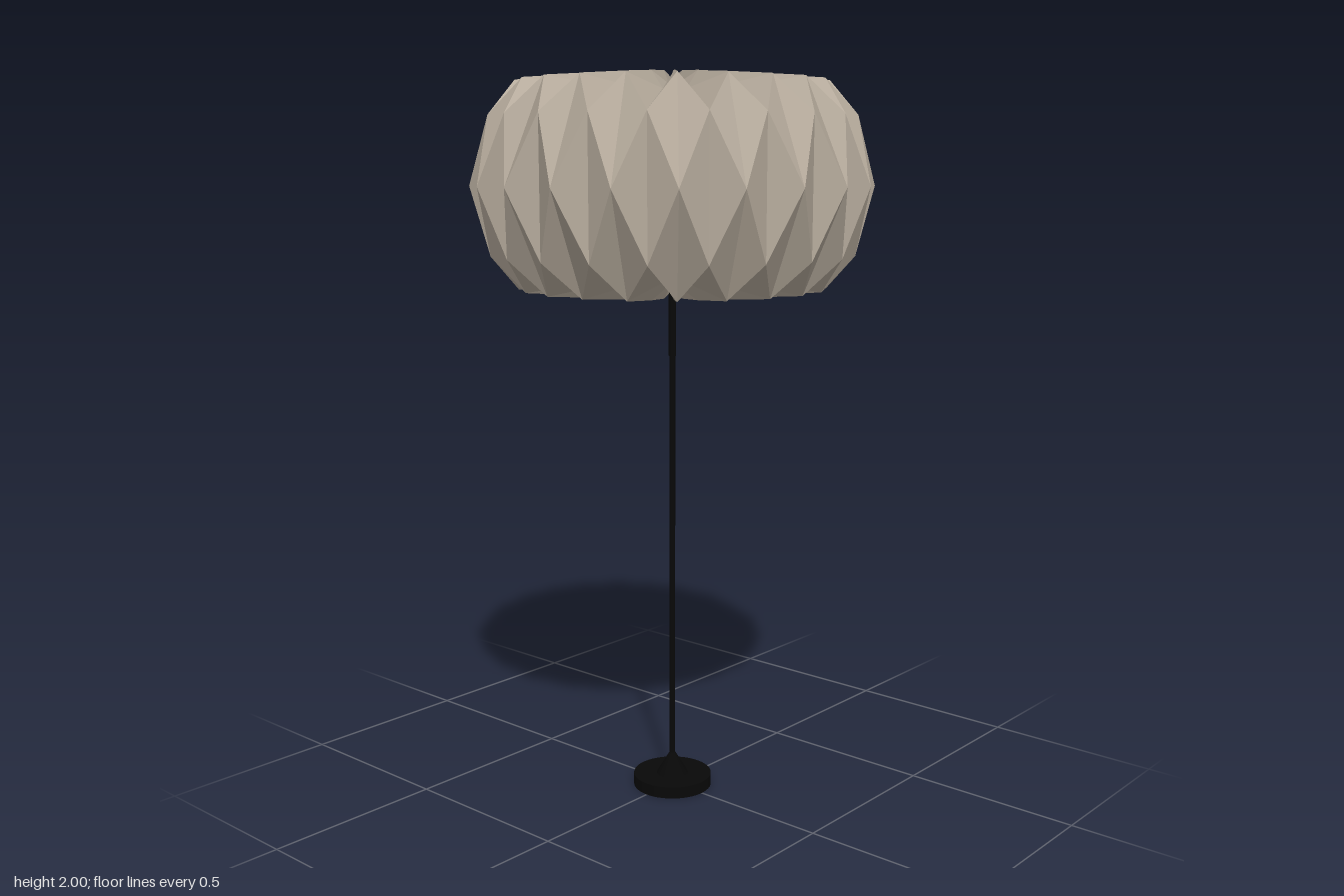
import * as THREE from 'three';

const PLEATS = 21;
const MID_Y = 1.704;

// Upper half of the two creases that alternate round the shade: [radius, height above the middle]
const TIP_CREASE = [[0.54, 0], [0.415, 0.274], [0.2, 0.29], [0.08, 0.296], [0.035, 0.287], [0.01, 0.262]];
const SIDE_CREASE = [[0.492, 0.182], [0.2, 0.244], [0.08, 0.262], [0.035, 0.264], [0.01, 0.26]];

// Folded paper with pleats that run over the rim to the centre
function pleatedShade() {
  const center = new THREE.Vector3(0, MID_Y, 0);
  const points = [];
  // Add one facet, turned so that it faces outward
  const facet = (a, b, c) => {
    const normal = b.clone().sub(a).cross(c.clone().sub(a));
    const out = a.clone().add(b).add(c).divideScalar(3).sub(center);
    points.push(...(normal.dot(out) < 0 ? [a, c, b] : [a, b, c]));
  };
  const crease = (profile, turn, up) => profile.map(([r, h]) => {
    const a = (turn / PLEATS) * Math.PI * 2;
    return new THREE.Vector3(Math.sin(a) * r, MID_Y + up * h, -Math.cos(a) * r);
  });
  for (let k = 0; k < PLEATS; k++) {
    for (const step of [-0.5, 0.5]) {
      // Upper and lower halves of the strip between a tip and its neighbour
      for (const up of [1, -1]) {
        const tip = crease(TIP_CREASE, k, up);
        const side = crease(SIDE_CREASE, k + step, up);
        facet(tip[0], side[0], tip[1]);
        for (let i = 1; i < side.length; i++) {
          facet(tip[i], side[i - 1], side[i]);
          facet(tip[i], side[i], tip[i + 1]);
        }
      }
      // Half diamond at the middle
      facet(
        crease(TIP_CREASE, k, 1)[0],
        crease(SIDE_CREASE, k + step, 1)[0],
        crease(SIDE_CREASE, k + step, -1)[0],
      );
    }
  }
  const geometry = new THREE.BufferGeometry().setFromPoints(points);
  geometry.computeVertexNormals();
  return geometry;
}

export function createModel() {
  const paper = new THREE.MeshStandardMaterial({ color: 0xb8ad9e, flatShading: true, side: THREE.DoubleSide });
  paper.name = 'beigePaper';
  const metal = new THREE.MeshStandardMaterial({ color: 0x080808 });
  metal.name = 'blackMetal';

  const lamp = new THREE.Group();
  lamp.name = 'floorLamp';
  const add = (name, geometry, material) => {
    const mesh = new THREE.Mesh(geometry, material);
    mesh.name = name;
    lamp.add(mesh);
  };
  // Upright round part between two heights
  const rod = (name, rTop, rBottom, y0, y1, sides) =>
    add(name, new THREE.CylinderGeometry(rTop, rBottom, y1 - y0, sides).translate(0, (y0 + y1) / 2, 0), metal);

  // Stand
  rod('base', 0.111, 0.111, 0, 0.033, 40);
  rod('baseCone', 0.008, 0.045, 0.033, 0.095, 24);
  rod('pole', 0.008, 0.008, 0.09, 1.3, 16);
  rod('socketTube', 0.01, 0.01, 1.245, 1.968, 16);

  // Shade
  add('pleatedShade', pleatedShade(), paper);
  return lamp;
}
